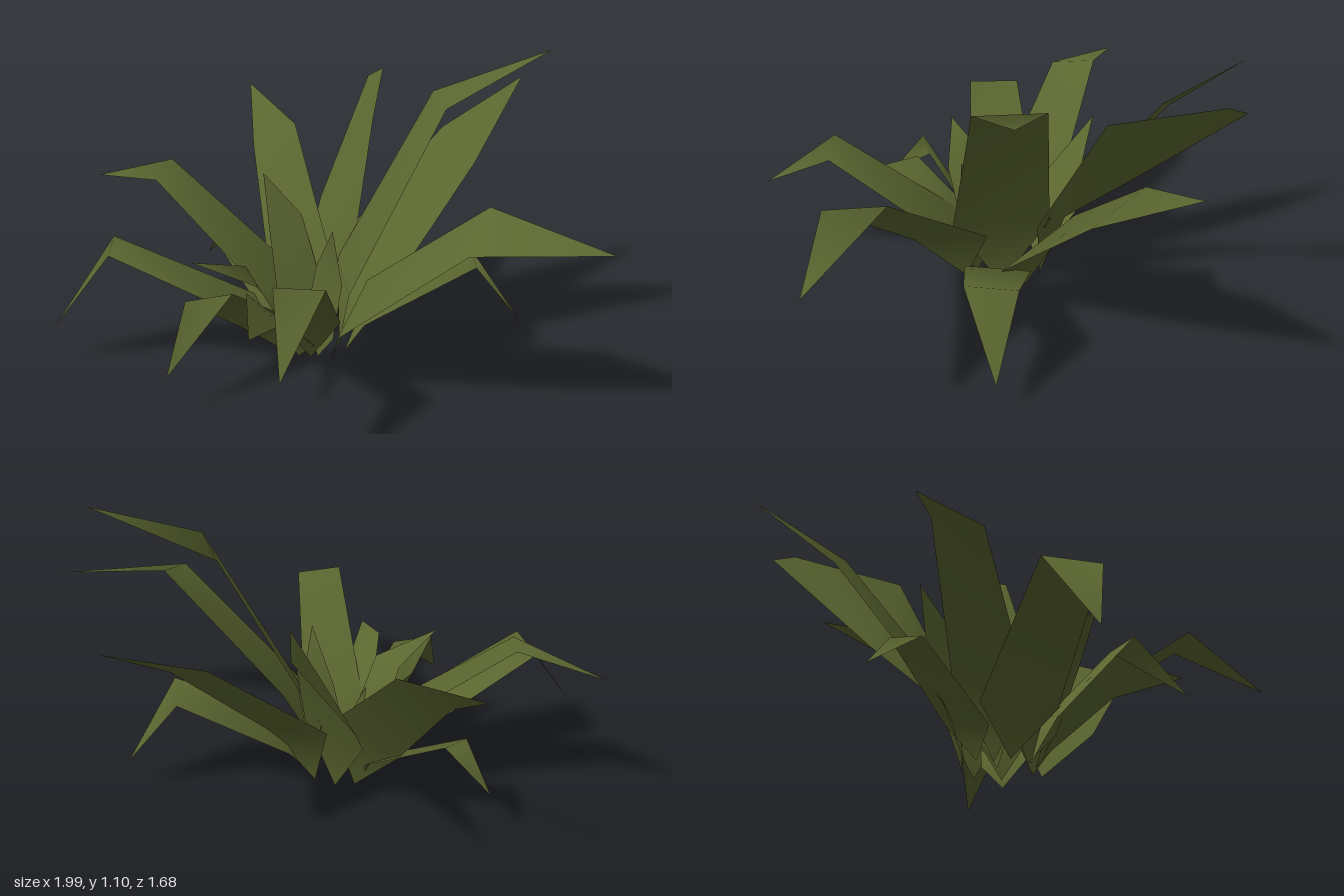
import * as THREE from 'three';

const leafGreen = new THREE.MeshStandardMaterial({ color: 0x5b6630, side: THREE.DoubleSide });
leafGreen.name = 'leafGreen';

const vec = (p) => new THREE.Vector3(...p);

// One blade: pointed root, broad lower section, bent shoulder section, tip.
// It rises steeply first, then arches out: the lower section (scaled by spread)
// lies `out` of the way to the shoulder sideways and `up` of the way in height.
// `twist` is how much of the shoulder's slant the lower section keeps.
function makeLeaf({ root, a, b, tip, tip2, spread = 1.35, out = 0.15, up = 0.36, twist = 1 }) {
  const [A, B, T] = [a, b, tip].map(vec);
  const mid = A.clone().add(B).multiplyScalar(0.5);
  const half = A.clone().sub(B).multiplyScalar(0.5 * spread);
  half.y *= twist;

  // Roots sit on a small ring unless one is given
  let R;
  if (root) R = vec(root);
  else {
    const dir = new THREE.Vector3(mid.x + 0.1, 0, mid.z + 0.02).normalize();
    R = new THREE.Vector3(-0.1, 0.02, -0.02).addScaledVector(dir, 0.12);
  }
  const centre = R.clone().lerp(mid, out);
  centre.y = THREE.MathUtils.lerp(R.y, mid.y, up);
  const points = [R, centre.clone().add(half), centre.clone().sub(half), A, B, T];
  const index = [0, 1, 2, 1, 3, 2, 2, 3, 4, 4, 3, 5];
  if (tip2) {
    points.push(vec(tip2));
    index.push(4, 5, 6);
  }
  const geometry = new THREE.BufferGeometry().setFromPoints(points);
  geometry.setIndex(index);
  geometry.computeVertexNormals();
  return new THREE.Mesh(geometry, leafGreen);
}

export function createModel() {
  const plant = new THREE.Group();
  plant.name = 'plant';
  const add = (name, spec) => {
    const leaf = makeLeaf(spec);
    leaf.name = name;
    plant.add(leaf);
  };

  // Tall back leaves
  add('backLeftLeaf', { a: [0.2, 0.71, -0.6], b: [0.36, 0.62, -0.48], tip: [0.44, 0.87, -0.84], spread: 1.5 });
  add('backLeaf', {
    a: [-0.01, 0.77, -0.4], b: [-0.23, 0.43, -0.43], tip: [-0.1, 0.87, -0.77], tip2: [-0.18, 0.82, -0.82],
    spread: 0.95, up: 0.42, twist: 0.25,
  });
  add('backRightLeaf', { a: [-0.36, 0.69, -0.49], b: [-0.53, 0.59, -0.47], tip: [-0.65, 0.77, -0.71] });
  add('tallLeftLeaf', {
    root: [0, 0.02, -0.03], a: [0.25, 0.93, -0.29], b: [0.36, 0.93, -0.08], tip: [0.65, 1.1, -0.34],
    spread: 1.45, out: 0.04, up: 0.3,
  });

  // Spreading side leaves
  add('leftLeaf', {
    root: [0.02, 0.03, 0.1], a: [0.57, 0.68, 0.11], b: [0.57, 0.6, 0.35], tip: [0.99, 0.6, 0.18], spread: 1.2, out: 0.16,
  });
  add('lowLeftLeaf', {
    root: [0.02, 0, -0.03], a: [0.42, 0.36, -0.27], b: [0.48, 0.37, -0.1], tip: [0.61, 0.11, -0.27],
    spread: 1.3, out: 0.16, up: 0.42,
  });
  add('rightLeaf', {
    root: [-0.19, 0.02, -0.02], a: [-0.7, 0.62, -0.12], b: [-0.68, 0.59, 0.04], tip: [-1, 0.53, -0.09],
    spread: 1.5, out: 0.12, up: 0.4,
  });
  add('rightFrontLeaf', { a: [-0.76, 0.43, 0.22], b: [-0.68, 0.43, 0.39], tip: [-0.92, 0.12, 0.4] });
  add('lowRightLeaf', { a: [-0.5, 0.33, -0.29], b: [-0.56, 0.3, -0.17], tip: [-0.66, 0.18, -0.31] });

  // Drooping front leaves
  add('frontLeaf', { a: [0.03, 0.52, 0.61], b: [0.18, 0.51, 0.55], tip: [0.15, 0.33, 0.84] });
  add('smallFrontLeaf', { a: [-0.17, 0.37, 0.38], b: [-0.06, 0.26, 0.35], tip: [-0.07, 0.31, 0.58], spread: 1.3, twist: 0.6 });
  add('frontRightLeaf', { a: [-0.36, 0.34, 0.45], b: [-0.23, 0.35, 0.36], tip: [-0.36, 0.13, 0.6], spread: 1.2 });

  // Short inner leaves
  add('innerFrontLeaf', { a: [-0.28, 0.36, 0.15], b: [-0.18, 0.34, 0.26], tip: [-0.39, 0.43, 0.34], spread: 1.2 });
  add('innerRightLeaf', {
    root: [-0.13, 0.02, -0.02], a: [-0.23, 0.42, -0.24], b: [-0.31, 0.4, -0.12], tip: [-0.38, 0.57, -0.23], out: 0.12,
  });
  add('heartLeaf', {
    root: [-0.04, 0.02, 0.08], a: [-0.07, 0.34, 0.01], b: [0.06, 0.32, 0.1], tip: [0.03, 0.52, 0.11], spread: 1.1,
  });

  return plant;
}
